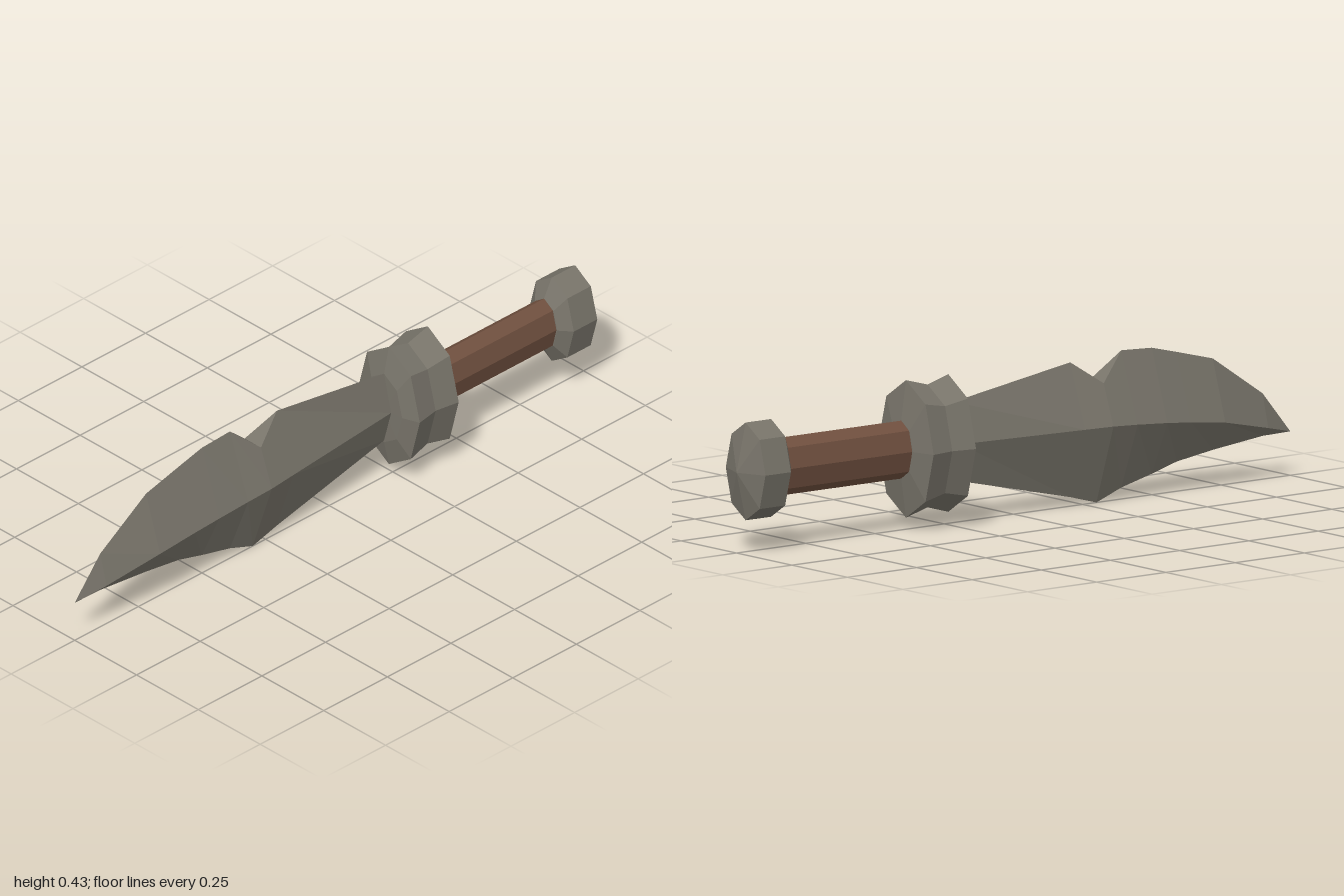
import * as THREE from 'three';

const steel = new THREE.MeshStandardMaterial({ color: 0x78746a, flatShading: true });
steel.name = 'greySteel';
const leather = new THREE.MeshStandardMaterial({ color: 0x70503f, flatShading: true });
leather.name = 'brownGrip';

const AXIS_Y = 0.234;

// Eight-sided part turned around the z axis and narrowed in x; profile is [radius, z] from front to back
function turned(name, profile, squash, material) {
  const points = profile.map(([r, z]) => new THREE.Vector2(r, -z));
  const geometry = new THREE.LatheGeometry(points, 8);
  geometry.rotateX(-Math.PI / 2);
  geometry.scale(squash, 1, 1);
  const mesh = new THREE.Mesh(geometry, material);
  mesh.name = name;
  mesh.position.y = AXIS_Y;
  return mesh;
}

// Diamond-section blade: [z, spine y, spine half width, ridge y, ridge half width, edge y]
function createBlade() {
  const stations = [
    [-0.3, 0.337, 0, 0.232, 0.022, 0.147],
    [-0.215, 0.35, 0, 0.232, 0.03, 0.125],
    [0.205, 0.416, 0, 0.232, 0.068, 0.03],
    [0.3, 0.35, 0.033, 0.232, 0.077, 0.004], // notch floor
    [0.39, 0.43, 0, 0.227, 0.074, 0.037],
    [0.5, 0.425, 0, 0.219, 0.07, 0.064],
    [0.59, 0.403, 0, 0.21, 0.065, 0.089],
    [0.72, 0.37, 0, 0.194, 0.057, 0.108],
    [0.9, 0.25, 0, 0.154, 0.026, 0.128],
    [1, 0.13, 0, 0.13, 0, 0.13],
  ];
  const positions = [];
  const index = [];
  const n = 5;
  stations.forEach(([z, top, t, ridge, w, edge], i) => {
    positions.push(w, ridge, z, t, top, z, -t, top, z, -w, ridge, z, 0, edge, z);
    if (i === 0) return;
    for (let j = 0; j < n; j++) {
      const a = (i - 1) * n + j;
      const b = (i - 1) * n + ((j + 1) % n);
      index.push(a, b, b + n, a, b + n, a + n);
    }
  });
  // Closing face at the root
  for (let j = 1; j < n - 1; j++) index.push(0, j + 1, j);
  const geometry = new THREE.BufferGeometry();
  geometry.setAttribute('position', new THREE.Float32BufferAttribute(positions, 3));
  geometry.setIndex(index);
  geometry.computeVertexNormals();
  const mesh = new THREE.Mesh(geometry, steel);
  mesh.name = 'blade';
  return mesh;
}

export function createModel() {
  const group = new THREE.Group();
  group.name = 'knife';
  group.add(createBlade());

  // Waisted guard with shallow conical ends
  group.add(turned('guard', [
    [0, -0.214], [0.115, -0.216], [0.197, -0.235], [0.176, -0.31],
    [0.197, -0.388], [0.083, -0.405], [0, -0.405],
  ], 0.635, steel));

  group.add(turned('grip', [[0, -0.38], [0.083, -0.38], [0.083, -0.87], [0, -0.87]], 0.6, leather));

  // Pommel with a pointed cap
  group.add(turned('pommel', [
    [0, -0.845], [0.083, -0.845], [0.14, -0.875], [0.14, -0.967], [0, -1],
  ], 0.64, steel));
  return group;
}
